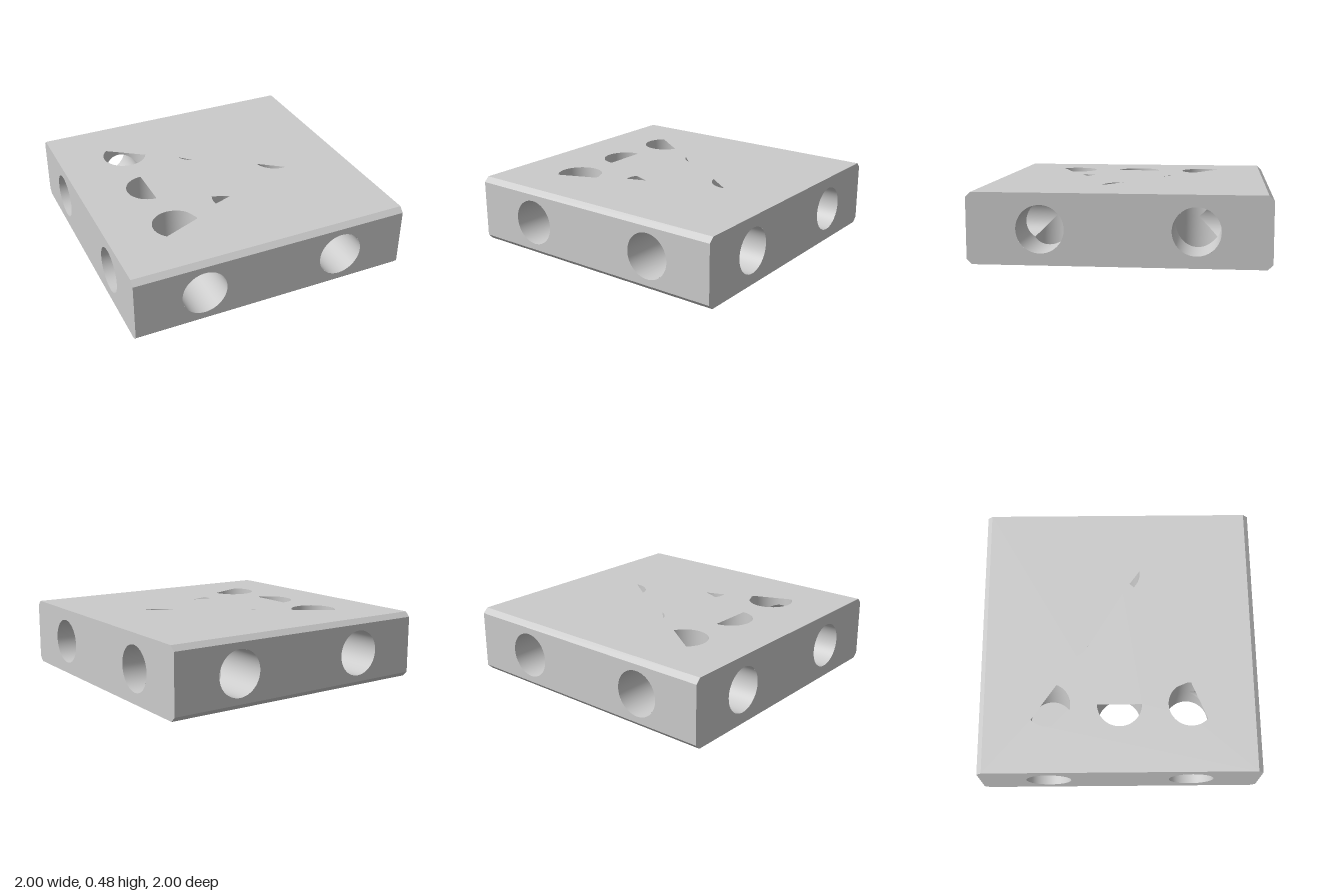
import * as THREE from 'three';

const H = 0.48, C = 0.035, R = 0.16, P = 0.51, SEG = 64;
const rad = THREE.MathUtils.degToRad;

export function createModel() {
  const model = new THREE.Group();
  const material = new THREE.MeshStandardMaterial({ color: 0xcccccc, side: THREE.DoubleSide });

  function add(name, geometry, x = 0, y = 0, z = 0) {
    const mesh = new THREE.Mesh(geometry, material);
    mesh.name = name;
    mesh.position.set(x, y, z);
    model.add(mesh);
  }

  // Part of a hole's rim, in degrees, plus an optional corner point
  function rim(cx, cy, from = 0, to = 360, corner = null) {
    const pts = [];
    const n = Math.max(6, Math.round((to - from) / 6));
    for (let i = 0; i <= n; i++) {
      if (i === n && to - from === 360) break;
      const a = rad(from + (to - from) * i / n);
      pts.push(new THREE.Vector2(cx + R * Math.cos(a), cy + R * Math.sin(a)));
    }
    if (corner) pts.push(new THREE.Vector2(...corner));
    return pts;
  }

  // Flat plate with openings
  function plate(outline, holes) {
    const shape = new THREE.Shape(outline.map(([x, y]) => new THREE.Vector2(x, y)));
    for (const pts of holes) shape.holes.push(new THREE.Path(pts));
    return new THREE.ShapeGeometry(shape);
  }

  // Top and bottom faces, some holes only partly open
  const zi = 1 - C;
  const flat = [[-1, -zi], [1, -zi], [1, zi], [-1, zi]];
  const topHoles = [
    rim(-P, -P, 22, 228), rim(-P, 0, 90, 270),
    rim(-P, P, 133, 322).concat(rim(-P, P, 352, 362)),
    rim(0, -0.37, 112, 158), rim(P, 0, 83, 169),
    rim(0, 0.37, 169, 205, [-0.02, 0.35]),
  ];
  for (const pts of topHoles) for (const p of pts) p.y *= -1;
  add('topFace', plate(flat, topHoles).rotateX(-Math.PI / 2), 0, H, 0);
  const bottomHoles = [rim(-P, -P, 80, 198), rim(-P, 0), rim(-P, P)];
  add('bottomFace', plate(flat, bottomHoles).rotateX(Math.PI / 2));

  // Front, back and side faces with two bores each
  const h = H / 2, hi = h - C;
  const bores = () => [rim(-P, 0), rim(P, 0)];
  const endOutline = [[-1, -hi], [1, -hi], [1, hi], [-1, hi]];
  const sideOutline = [[-1, -hi], [-zi, -h], [zi, -h], [1, -hi], [1, hi], [zi, h], [-zi, h], [-1, hi]];
  add('frontFace', plate(endOutline, bores()), 0, h, 1);
  add('backFace', plate(endOutline, bores()).rotateY(Math.PI), 0, h, -1);
  add('leftFace', plate(sideOutline, bores()).rotateY(Math.PI / 2), 1, h, 0);
  add('rightFace', plate(sideOutline, bores()).rotateY(-Math.PI / 2), -1, h, 0);

  // Chamfers along the front and back edges
  for (const sy of [-1, 1]) for (const sz of [-1, 1]) {
    const strip = new THREE.PlaneGeometry(2, C * Math.SQRT2).rotateX(-Math.atan2(sy, sz));
    add('chamfer', strip, 0, h + sy * (h - C / 2), sz * (1 - C / 2));
  }

  // Bore wall from the crossing of the three corner bores out to a face
  function boreWall(axis, dir, length, sx, sz) {
    const [u, v] = ['x', 'y', 'z'].filter((k) => k !== axis);
    const pos = [], index = [];
    for (let i = 0; i < SEG; i++) {
      const a = i / SEG * Math.PI * 2;
      const o = { x: 0, y: 0, z: 0 };
      o[u] = R * Math.cos(a);
      o[v] = R * Math.sin(a);
      const start = Math.max(o.x * sx, o.z * sz, Math.abs(o.y));
      for (const t of [start, length]) {
        o[axis] = dir * t;
        pos.push(o.x, o.y, o.z);
      }
      const b = 2 * i, n = 2 * ((i + 1) % SEG);
      index.push(b, n, b + 1, n, n + 1, b + 1);
    }
    const g = new THREE.BufferGeometry();
    g.setAttribute('position', new THREE.Float32BufferAttribute(pos, 3));
    g.setIndex(index);
    g.computeVertexNormals();
    return g;
  }

  // Three bores meet near every corner
  for (const sx of [-1, 1]) for (const sz of [-1, 1]) {
    const at = [sx * P, h, sz * P];
    add('sideBore', boreWall('x', sx, 1 - P, sx, sz), ...at);
    add('endBore', boreWall('z', sz, 1 - P, sx, sz), ...at);
    for (const sy of [-1, 1]) add('verticalBore', boreWall('y', sy, h, sx, sz), ...at);
  }

  // Plain vertical holes between the corners
  for (const [x, z] of [[-P, 0], [P, 0], [0, -0.37], [0, 0.37]]) {
    add('middleHole', new THREE.CylinderGeometry(R, R, H, SEG, 1, true), x, h, z);
  }
  return model;
}
